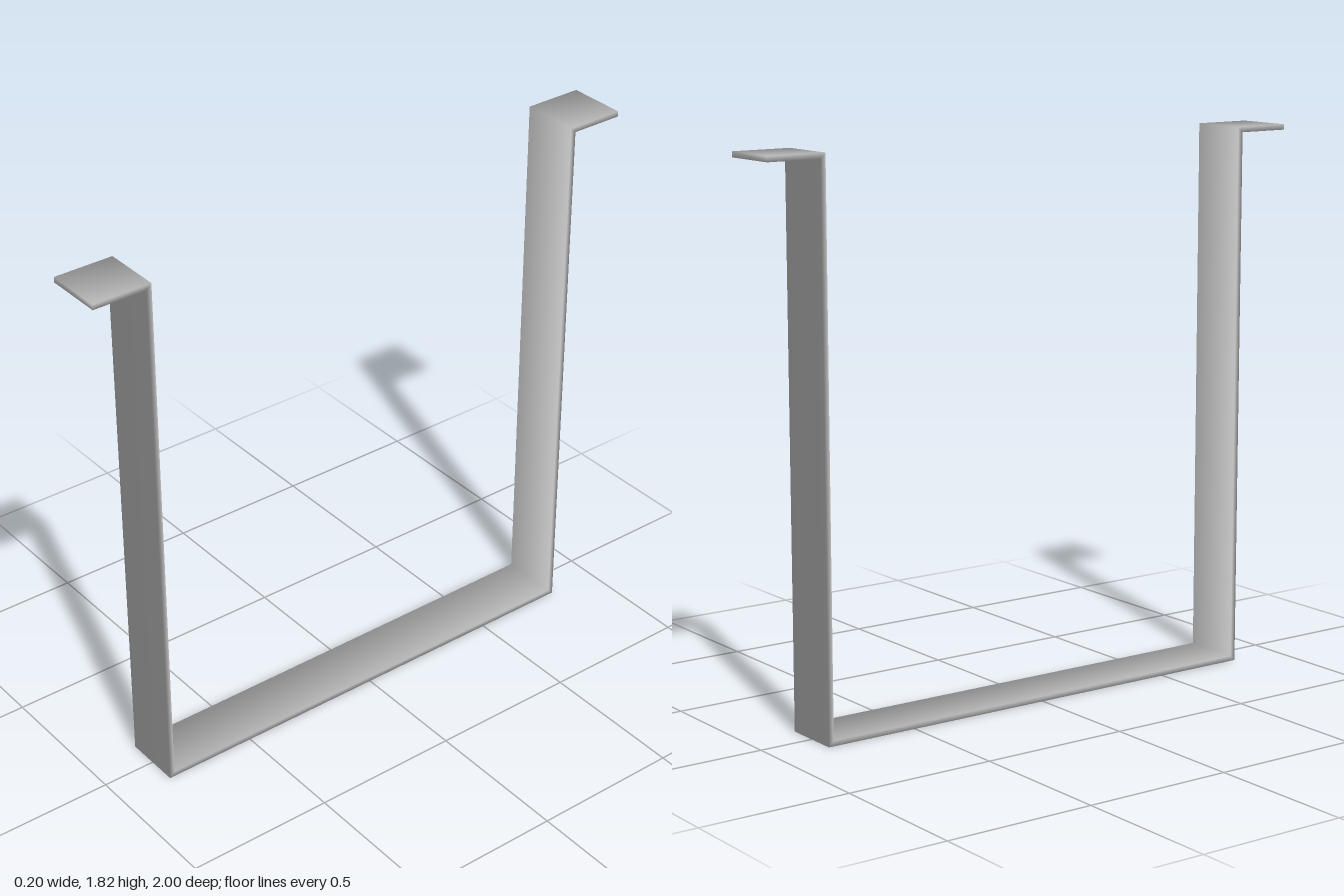
import * as THREE from 'three';

const steel = new THREE.MeshStandardMaterial({ color: 0xb8b8b8 });
steel.name = 'steel grey';
const darkSteel = new THREE.MeshStandardMaterial({ color: 0x707070 });
darkSteel.name = 'dark steel grey';

const HALF_WIDTH = 0.1;
const HEIGHT = 1.82;
const THICK = 0.018;

// Bent strap swept across x, with corner normals softened between the faces
function strapGeometry() {
  const t = THICK, h = HEIGHT, s = 0.8;
  const upper = [[1, h], [s, h], [s, t], [-s, t], [-s, h], [-1, h]];
  const lower = [[-1, h - t], [-s - t, h - t], [-s - t, 0], [s + t, 0], [s + t, h - t], [1, h - t]];
  const loop = [...upper, ...lower]; // [z, y] pairs
  const n = loop.length;

  const edgeNormal = (i) => {
    const [z0, y0] = loop[i % n], [z1, y1] = loop[(i + 1) % n];
    return new THREE.Vector3(0, z0 - z1, y1 - y0).normalize();
  };

  const positions = [], normals = [], index = [];
  for (const side of [1, -1]) {
    loop.forEach(([z, y], i) => {
      positions.push(side * HALF_WIDTH, y, z);
      const v = edgeNormal(i).add(edgeNormal(i + n - 1));
      v.x = side;
      normals.push(...v.normalize().toArray());
    });
  }
  const quad = (a, b, c, d) => index.push(a, b, c, a, c, d);

  // Broad faces and end edges
  for (let i = 0; i < n; i++) {
    const j = (i + 1) % n;
    quad(i, j, n + j, n + i);
  }
  // Narrow side edges
  for (let k = 0; k < upper.length - 1; k++) {
    const a = k, b = k + 1, c = n - 2 - k, d = n - 1 - k;
    quad(a, d, c, b);
    quad(n + a, n + b, n + c, n + d);
  }

  const geometry = new THREE.BufferGeometry();
  geometry.setAttribute('position', new THREE.Float32BufferAttribute(positions, 3));
  geometry.setAttribute('normal', new THREE.Float32BufferAttribute(normals, 3));
  geometry.setIndex(index);
  return geometry;
}

export function createModel() {
  const group = new THREE.Group();
  group.name = 'hangingBracket';

  const strap = new THREE.Mesh(strapGeometry(), steel);
  strap.name = 'bentStrap';
  group.add(strap);

  // Square fixing points under the two flanges
  for (const side of [1, -1]) {
    const fixing = new THREE.Mesh(new THREE.BoxGeometry(0.06, 0.004, 0.06), darkSteel);
    fixing.name = side > 0 ? 'frontFixing' : 'backFixing';
    fixing.position.set(0, HEIGHT - THICK, side * 0.9);
    group.add(fixing);
  }
  return group;
}
